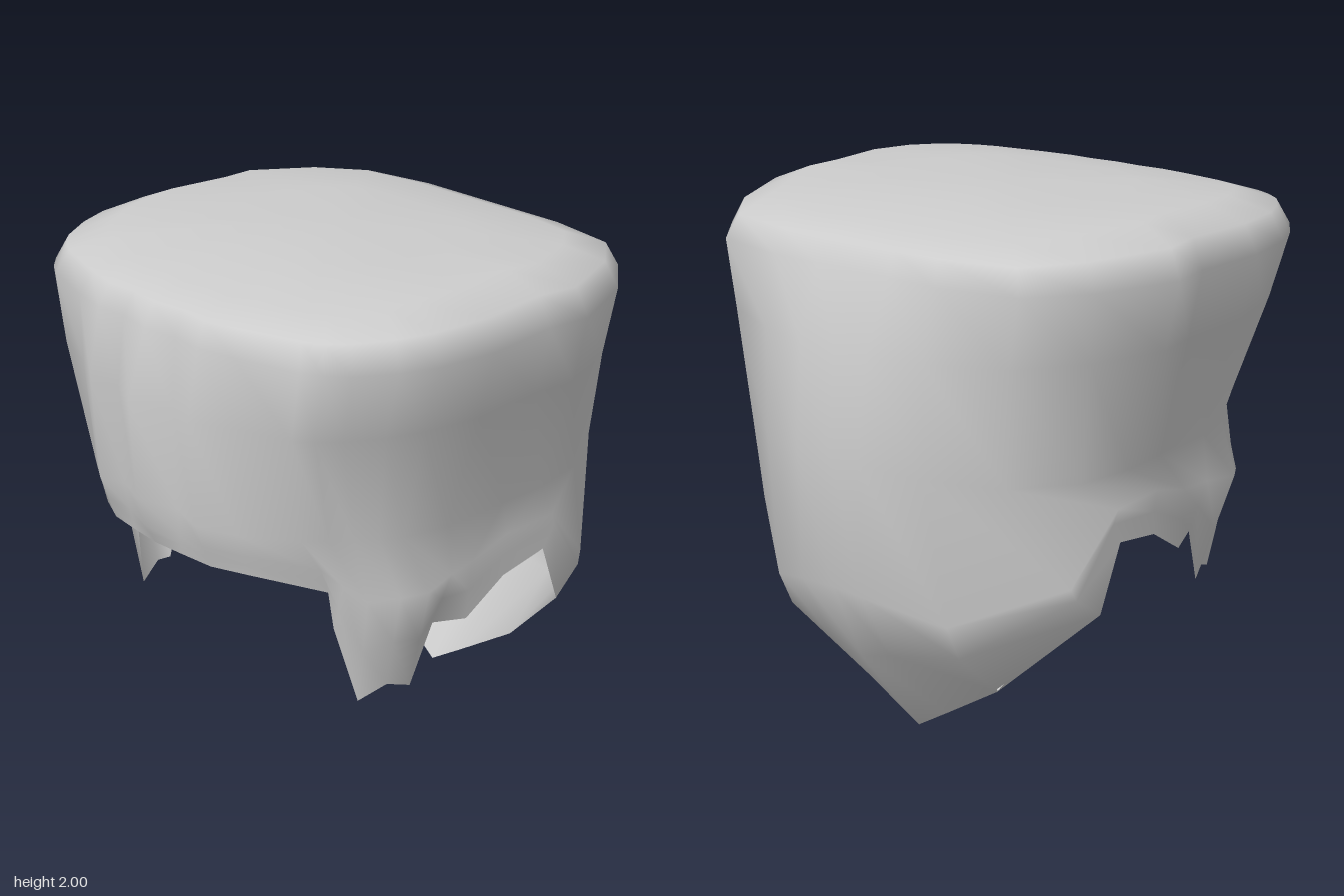
import * as THREE from 'three';

// Half outlines from the front centre, round the left side, to the back centre.
// Flat rings: [x, z]
const crown = [[0, 0.9], [0.14, 0.88], [0.27, 0.89], [0.42, 0.86], [0.66, 0.79], [0.73, 0.75], [0.8, 0.69], [0.88, 0.56],
  [0.93, 0.43], [0.96, 0.2], [0.93, -0.1], [0.95, -0.27], [0.82, -0.58], [0.66, -0.77], [0.36, -0.83], [0.16, -0.83], [0, -0.83]];
const middle = [[0, 0.98], [0.15, 0.91], [0.27, 0.94], [0.42, 0.86], [0.62, 0.79], [0.68, 0.74], [0.74, 0.67], [0.81, 0.55],
  [0.86, 0.42], [0.9, 0.2], [0.88, -0.1], [0.9, -0.27], [0.79, -0.55], [0.62, -0.77], [0.36, -0.89], [0.15, -0.94], [0, -0.93]];
const waist = [[0, 0.965], [0.15, 0.9], [0.27, 0.92], [0.4, 0.84], [0.55, 0.69], [0.6, 0.61], [0.65, 0.54], [0.69, 0.46],
  [0.73, 0.38], [0.765, 0.2], [0.765, -0.08], [0.765, -0.28], [0.73, -0.5], [0.59, -0.74], [0.36, -0.9], [0.14, -0.98], [0, -0.97]];
// Uneven rings: [x, y, z]
const low = [[0, 1.1, 0.93], [0.14, 1.1, 0.89], [0.27, 1.1, 0.89], [0.4, 1.09, 0.82], [0.57, 1.03, 0.62], [0.63, 0.97, 0.57],
  [0.7, 0.92, 0.52], [0.77, 0.93, 0.43], [0.82, 0.94, 0.34], [0.79, 0.95, 0.2], [0.77, 0.95, 0.08], [0.77, 1, -0.1],
  [0.77, 1, -0.34], [0.73, 0.76, -0.56], [0.4, 0.62, -0.83], [0.14, 0.72, -0.98], [0, 0.72, -0.97]];
const hem = [[0, 1.02, 0.89], [0.13, 1.02, 0.88], [0.27, 1.015, 0.86], [0.4, 1.01, 0.8], [0.57, 0.92, 0.565], [0.56, 0.77, 0.55],
  [0.62, 0.48, 0.49], [0.66, 0.525, 0.385], [0.69, 0.5, 0.3], [0.71, 0.73, 0.21], [0.75, 0.715, 0.08], [0.76, 0.83, -0.1],
  [0.76, 0.865, -0.31], [0.75, 0.62, -0.41], [0.4, 0.27, -0.55], [0.15, 0.1, -0.53], [0, 0, -0.52]];

// Scales a flat ring and sets its height, dropping it towards the front and back
const atHeight = (ring, y, scale = 1, drop = 0) =>
  ring.map(([x, z]) => [x * scale, y - drop * z * z, z * scale]);

// Completes a half ring with its mirror image
const mirrorRing = (half) => [...half, ...half.slice(1, -1).reverse().map(([x, y, z]) => [-x, y, z])];

// Joins closed rings, listed from top to bottom, into a smooth surface closed by an apex
function loft(rings, apex) {
  const n = rings[0].length;
  const top = rings.length * n;
  const index = [];
  for (let i = 0; i < n; i++) {
    const k = (i + 1) % n;
    index.push(top, i, k);
    for (let j = 0; j < rings.length - 1; j++) {
      const a = j * n + i, b = a + n, c = (j + 1) * n + k, d = j * n + k;
      index.push(a, b, c, a, c, d);
    }
  }
  const geometry = new THREE.BufferGeometry();
  geometry.setAttribute('position', new THREE.Float32BufferAttribute([...rings.flat(2), ...apex], 3));
  geometry.setIndex(index);
  geometry.computeVertexNormals();
  return geometry;
}

export function createModel() {
  const group = new THREE.Group();
  group.name = 'hair';
  const material = new THREE.MeshStandardMaterial({ color: 0xcccccc, side: THREE.DoubleSide });

  // Waist sits lower at the sides than at the front and back
  const pinch = waist.map(([x, z]) => [x, 1.22 - 0.12 * x, z]);

  // Ring halfway to the hem, pushed outwards where the hair rounds under at the back
  const under = low.map((p, i) => {
    const [x, y, z] = p.map((v, k) => (v + hem[i][k]) / 2);
    const bulge = Math.max(0, -z);
    return [x, y + 0.05 * bulge, z - 0.11 * bulge];
  });

  // Flat top, rounded rim, tapering sides, fringe, sideburns and pointed nape
  const rings = [
    atHeight(crown, 2, 0.45), atHeight(crown, 1.995, 0.8, 0.055), atHeight(crown, 1.935, 0.95, 0.03),
    atHeight(crown, 1.83), atHeight(middle, 1.58), pinch, low, under, hem,
  ].map(mirrorRing);
  const shell = new THREE.Mesh(loft(rings, [0, 2, 0]), material);
  shell.name = 'hairShell';
  group.add(shell);

  // Small lock folded inwards at the right of the nape
  const lock = new THREE.BufferGeometry();
  lock.setAttribute('position', new THREE.Float32BufferAttribute(
    [-0.6, 0.57, -0.44, -0.41, 0.28, -0.56, -0.37, 0.32, -0.55, -0.5, 0.43, -0.49], 3));
  lock.setIndex([0, 1, 2, 0, 2, 3]);
  lock.computeVertexNormals();
  const lockMesh = new THREE.Mesh(lock, material);
  lockMesh.name = 'napeLock';
  group.add(lockMesh);

  return group;
}
